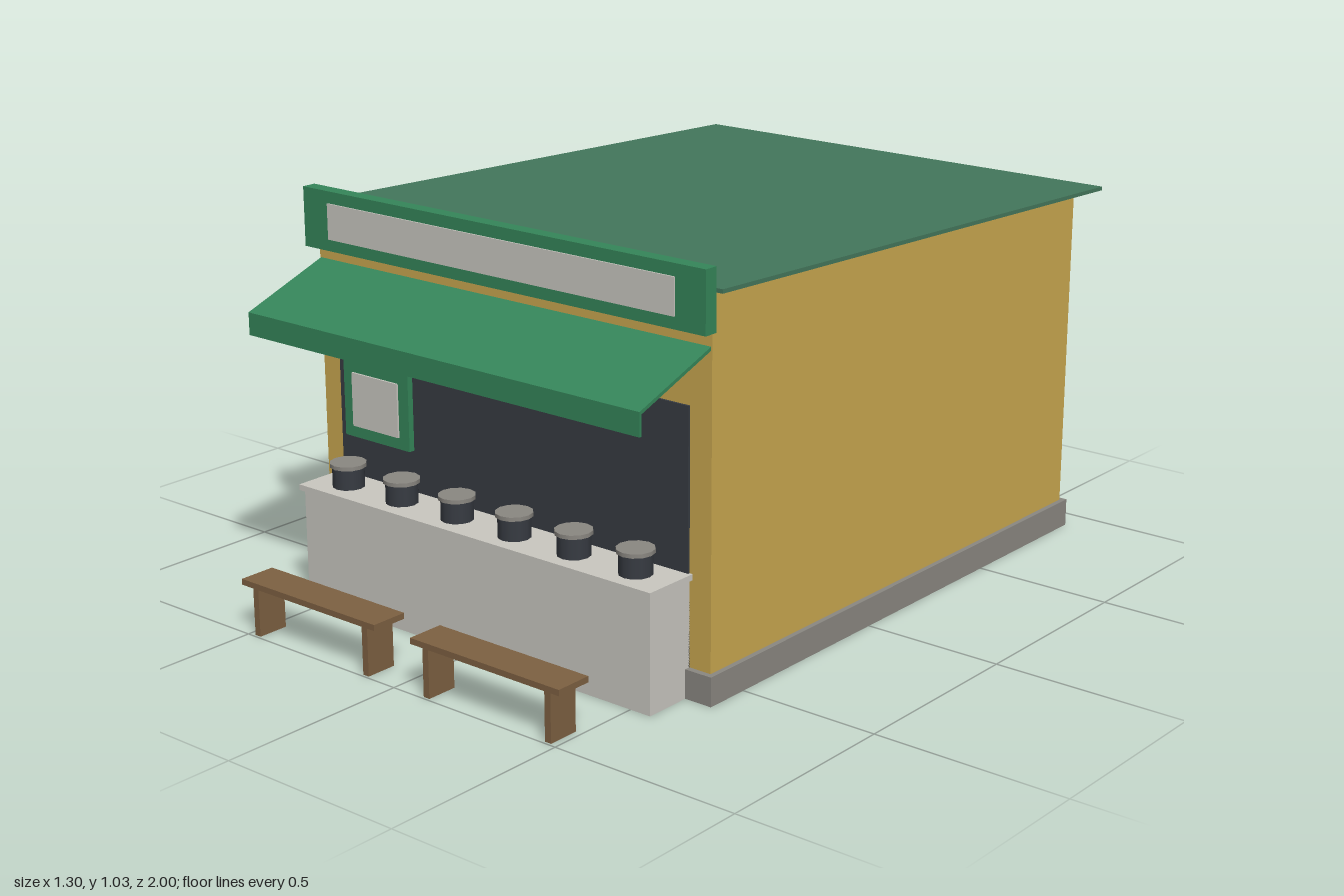
import * as THREE from 'three';

const mat = (name, color) => {
  const m = new THREE.MeshStandardMaterial({ color });
  m.name = name;
  return m;
};

export function createModel() {
  const M = {
    wall: mat('ochre plaster', 0xcaa850),
    roof: mat('roof green', 0x44785c),
    green: mat('awning green', 0x35865a),
    pale: mat('pale stone', 0xcac8c1),
    dark: mat('dark interior', 0x373b42),
    iron: mat('dark iron', 0x2b2f34),
    plinth: mat('plinth grey', 0x8b8882),
    wood: mat('bench wood', 0x7e6142),
  };
  const root = new THREE.Group();
  root.name = 'foodStall';

  // Box given by its minimum and maximum on each axis
  const box = (name, material, [x0, x1], [y0, y1], [z0, z1], parent = root) => {
    const mesh = new THREE.Mesh(new THREE.BoxGeometry(x1 - x0, y1 - y0, z1 - z0), material);
    mesh.position.set((x0 + x1) / 2, (y0 + y1) / 2, (z0 + z1) / 2);
    mesh.name = name;
    parent.add(mesh);
    return mesh;
  };
  // Side outline of [z, y] points, extruded across the width
  const sideProfile = (name, material, points, halfWidth) => {
    const shape = new THREE.Shape(points.map(([z, y]) => new THREE.Vector2(-z, y)));
    const geo = new THREE.ExtrudeGeometry(shape, { depth: halfWidth * 2, bevelEnabled: false });
    geo.translate(0, 0, -halfWidth).rotateY(Math.PI / 2);
    const mesh = new THREE.Mesh(geo, material);
    mesh.name = name;
    root.add(mesh);
  };
  const group = (name, parent = root) => {
    const g = new THREE.Group();
    g.name = name;
    parent.add(g);
    return g;
  };

  // Building shell
  box('plinth', M.plinth, [-0.633, 0.633], [0, 0.073], [-0.92, 0.62]);
  sideProfile('walls', M.wall, [[0.605, 0.06], [0.605, 0.972], [-0.905, 0.918], [-0.905, 0.06]], 0.62);
  sideProfile('roof', M.roof, [[0.605, 0.971], [0.605, 0.981], [-1, 0.926], [-1, 0.916]], 0.648);

  // Open shop front and serving counter
  box('shopOpening', M.dark, [-0.558, 0.558], [0.07, 0.7], [0.6, 0.611]);
  box('counter', M.pale, [-0.558, 0.558], [0, 0.29], [0.6, 0.745]);
  box('counterTop', M.pale, [-0.567, 0.567], [0.288, 0.303], [0.6, 0.755]);

  // Sign over the awning
  box('signBoard', M.green, [-0.631, 0.631], [0.88, 1.03], [0.605, 0.642]);
  box('signPanel', M.pale, [-0.545, 0.545], [0.91, 1.0], [0.64, 0.646]);

  // Sloping awning with a hanging valance
  sideProfile('awning', M.green, [
    [0.603, 0.847], [0.848, 0.757], [0.848, 0.7], [0.842, 0.7], [0.842, 0.75], [0.603, 0.838],
  ], 0.617);

  // Menu board
  box('menuFrame', M.green, [-0.528, -0.305], [0.41, 0.605], [0.608, 0.627]);
  box('menuPanel', M.pale, [-0.496, -0.339], [0.44, 0.578], [0.625, 0.632]);

  // Row of lidded pots on the counter
  for (let i = 0; i < 6; i++) {
    const pot = group('pot');
    pot.position.set(-0.466 + i * 0.186, 0.303, 0.682);
    const body = new THREE.Mesh(new THREE.CylinderGeometry(0.041, 0.041, 0.052, 12), M.dark);
    body.position.y = 0.026;
    body.name = 'potBody';
    const lid = new THREE.Mesh(new THREE.CylinderGeometry(0.046, 0.046, 0.01, 12), M.plinth);
    lid.position.y = 0.057;
    lid.name = 'potLid';
    pot.add(body, lid);
  }

  // Two benches
  for (const s of [-1, 1]) {
    const bench = group('bench');
    bench.position.x = s * 0.286;
    box('benchSeat', M.wood, [-0.2275, 0.2275], [0.125, 0.14], [0.903, 1], bench);
    for (const x of [-0.187, 0.187])
      box('benchLeg', M.wood, [x - 0.009, x + 0.009], [0, 0.126], [0.911, 0.993], bench);
  }

  // Window facing local +z, standing on its own wall plane
  const windowUnit = (name) => {
    const w = group(name);
    box('windowPane', M.dark, [-0.152, 0.152], [0.3, 0.61], [-0.003, 0.009], w);
    box('windowMullion', M.pale, [-0.006, 0.006], [0.305, 0.606], [0, 0.012], w);
    box('windowLintel', M.pale, [-0.16, 0.16], [0.605, 0.622], [0, 0.015], w);
    box('windowSill', M.pale, [-0.17, 0.17], [0.287, 0.305], [0, 0.02], w);
    return w;
  };
  const back = windowUnit('backWindow');
  back.position.z = -0.905;
  back.rotation.y = Math.PI;

  // Side window with a security grille
  const side = windowUnit('sideWindow');
  side.position.set(-0.62, 0, 0.1);
  side.rotation.y = -Math.PI / 2;
  for (const x of [-0.144, -0.072, 0, 0.072, 0.144])
    box('grilleBar', M.iron, [x - 0.006, x + 0.006], [0.304, 0.606], [0.012, 0.02], side);
  box('grilleRail', M.iron, [-0.155, 0.155], [0.448, 0.462], [0.013, 0.022], side);

  return root;
}
